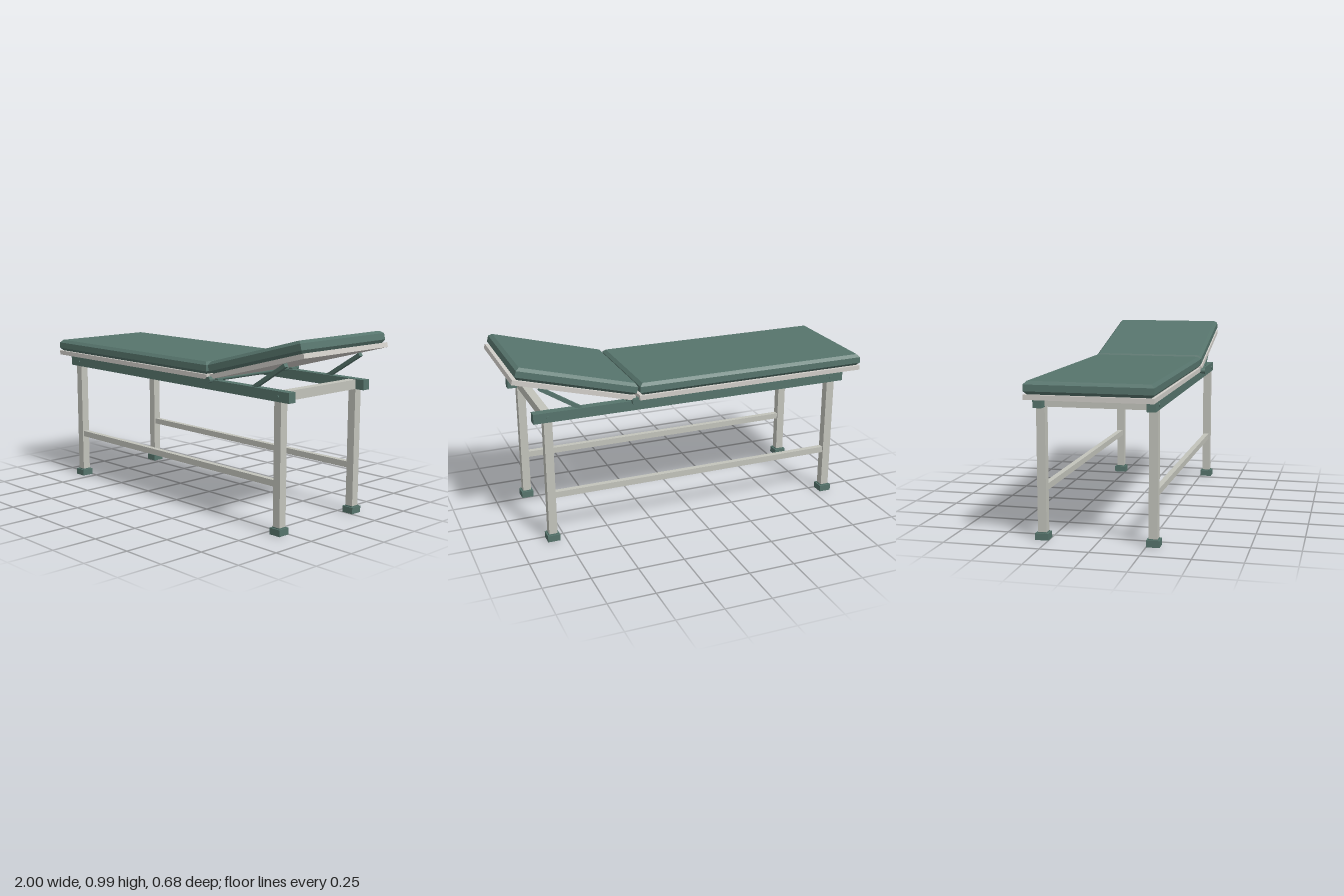
import * as THREE from 'three';

const green = new THREE.MeshStandardMaterial({ color: 0x56746c });
green.name = 'green vinyl and paint';
const metal = new THREE.MeshStandardMaterial({ color: 0xc2c3bb });
metal.name = 'grey metal';
const panel = new THREE.MeshStandardMaterial({ color: 0xd0cdc8 });
panel.name = 'pale board';

function add(parent, name, geometry, material, x, y, z) {
  const mesh = new THREE.Mesh(geometry, material);
  mesh.name = name;
  mesh.position.set(x, y, z);
  parent.add(mesh);
  return mesh;
}

function box(parent, name, material, w, h, d, x, y, z) {
  return add(parent, name, new THREE.BoxGeometry(w, h, d), material, x, y, z);
}

// Cylinder lying along z
function rod(parent, name, material, r, length, x, y, z) {
  const geometry = new THREE.CylinderGeometry(r, r, length, 20).rotateX(Math.PI / 2);
  return add(parent, name, geometry, material, x, y, z);
}

// Cushion with bevelled edges; its bottom start edge sits at the origin
function cushion(length, height, depth, bevel) {
  const w = length / 2 - bevel, d = depth / 2 - bevel;
  const shape = new THREE.Shape([
    new THREE.Vector2(-w, -d), new THREE.Vector2(w, -d),
    new THREE.Vector2(w, d), new THREE.Vector2(-w, d),
  ]);
  return new THREE.ExtrudeGeometry(shape, {
    depth: height - 2 * bevel, bevelEnabled: true,
    bevelSize: bevel, bevelThickness: bevel, bevelSegments: 1,
  }).rotateX(-Math.PI / 2).translate(length / 2, bevel, 0);
}

// Padded board running along +x from its lower start edge
function paddedBoard(name, boardLength, padLength) {
  const group = new THREE.Group();
  group.name = name;
  box(group, name + 'Board', panel, boardLength, 0.025, 0.64, boardLength / 2, 0.0125, 0);
  add(group, name + 'Cushion', cushion(padLength, 0.065, 0.64, 0.016), green, 0, 0.025, 0);
  return group;
}

export function createModel() {
  const model = new THREE.Group();
  model.name = 'examinationCouch';

  // Fixed bed and raised backrest
  const bed = paddedBoard('bed', 1.323, 1.32);
  bed.position.set(-1, 0.73, 0);
  const backrest = paddedBoard('backrest', 0.667, 0.658);
  backrest.position.set(0.352, 0.734, 0);
  backrest.rotation.z = THREE.MathUtils.degToRad(15);
  model.add(bed, backrest);

  const frame = new THREE.Group();
  frame.name = 'frame';
  frame.position.x = -0.003;
  model.add(frame);

  for (const side of [-1, 1]) {
    const z = side * 0.284;
    // Long rail and lower stretcher
    box(frame, 'rail', green, 1.79, 0.053, 0.046, 0, 0.702, z);
    box(frame, 'stretcher', metal, 1.6, 0.033, 0.03, 0, 0.26, z);

    // Legs with feet and bolts
    for (const end of [-1, 1]) {
      const x = end * 0.82;
      box(frame, 'leg', metal, 0.045, 0.65, 0.045, x, 0.352, z);
      box(frame, 'foot', green, 0.067, 0.035, 0.068, x, 0.0175, z);
      box(frame, 'footCollar', green, 0.05, 0.006, 0.05, x, 0.037, z);
      rod(frame, 'bolt', green, 0.008, 0.006, x, 0.702, side * 0.309);
    }

    // Backrest prop, hinge plate and pivot knob
    const prop = box(model, 'prop', green, 0.252, 0.02, 0.025, 0.742, 0.79, side * 0.285);
    prop.rotation.z = Math.atan2(0.13, 0.207);
    box(model, 'hingePlate', green, 0.08, 0.008, 0.034, 0.35, 0.734, side * 0.283);
    rod(model, 'pivotKnob', green, 0.017, 0.022, 0.355, 0.732, side * 0.331);
  }

  // Cross beams between the rails
  for (const x of [-0.82, 0.09, 0.82]) {
    box(frame, 'crossBeam', metal, 0.045, 0.049, 0.524, x, 0.701, 0);
  }

  // Pivot bar
  rod(model, 'pivotBar', green, 0.012, 0.65, 0.355, 0.732, 0);

  return model;
}
